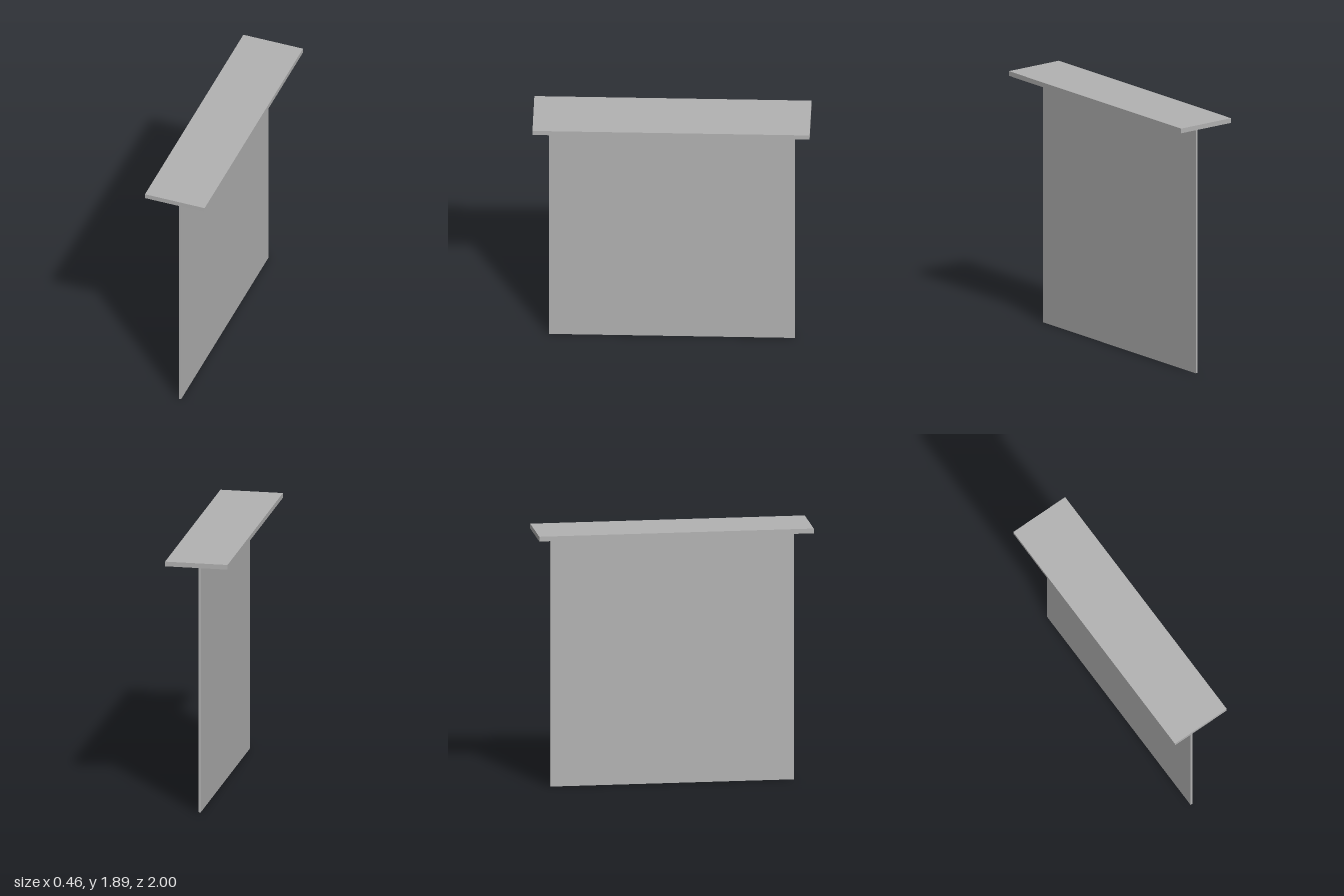
import * as THREE from 'three';

export function createModel() {
  const model = new THREE.Group();
  const grey = new THREE.MeshStandardMaterial({ color: 0xb2b2b2 });
  grey.name = 'plain grey';

  // Top slab
  const slab = new THREE.Mesh(new THREE.BoxGeometry(0.46, 0.035, 2), grey);
  slab.name = 'topSlab';
  slab.position.y = 1.8745;
  model.add(slab);

  // Upright panel with a flange bent out along its top edge, as one L-shaped section
  const section = new THREE.Shape([
    [-0.01, 0], [0.006, 0], [0.006, 1.84], [0.142, 1.84], [0.142, 1.856], [-0.01, 1.856],
  ].map(([x, y]) => new THREE.Vector2(x, y)));
  const depth = 1.776;
  const geometry = new THREE.ExtrudeGeometry(section, { depth, bevelEnabled: false });
  geometry.translate(0, 0, -depth / 2);
  const panel = new THREE.Mesh(geometry, grey);
  panel.name = 'flangedPanel';
  model.add(panel);

  return model;
}
